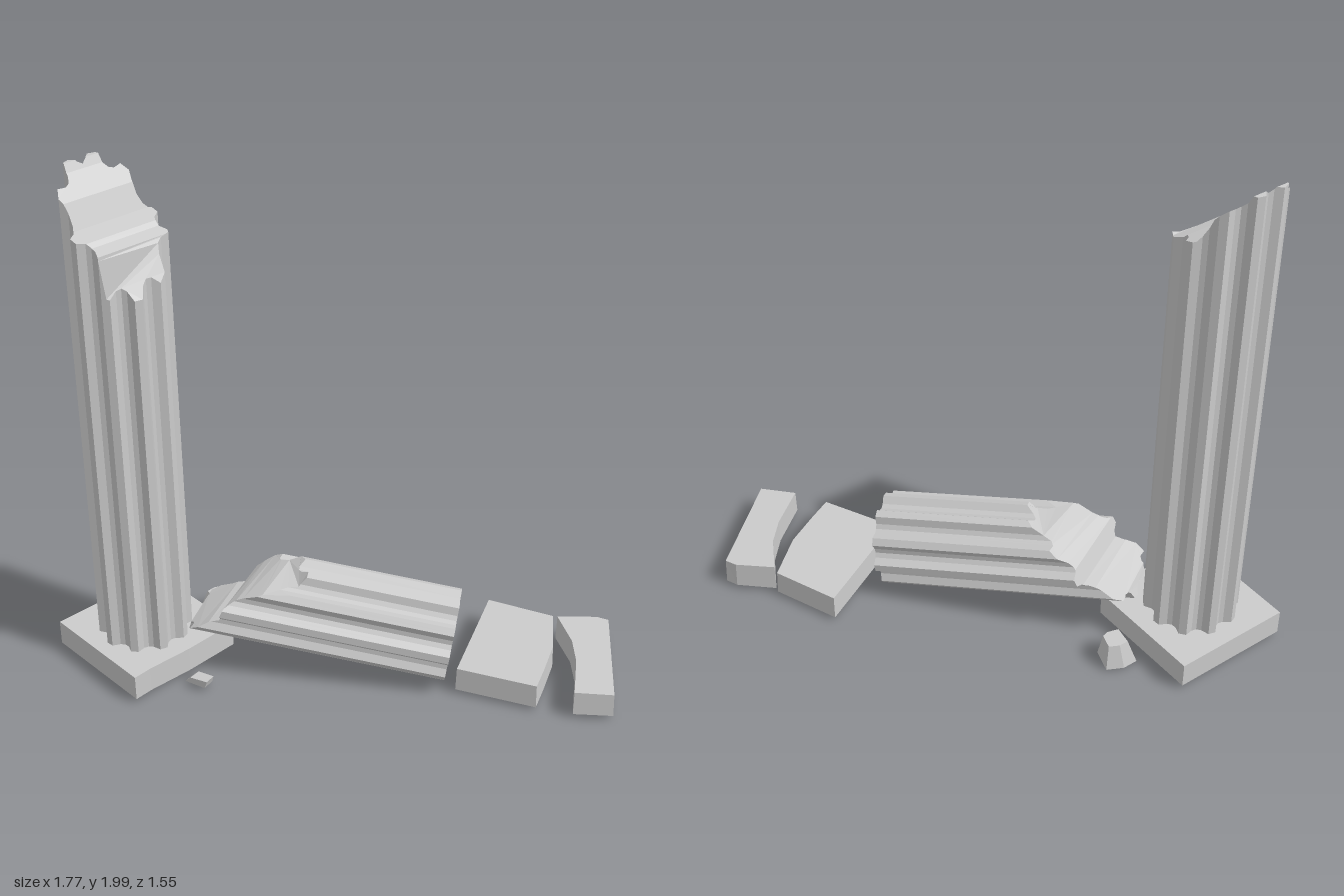
import * as THREE from 'three';

const stone = new THREE.MeshStandardMaterial({ color: 0xcccccc, flatShading: true, side: THREE.DoubleSide });

// Fluted outline, counter-clockwise in (x, -z)
function flutedOutline(flutes = 10, phase = -0.26) {
  const pts = [];
  const steps = [[-0.13, 0.179], [0.13, 0.179], [0.31, 0.154], [0.5, 0.147], [0.69, 0.154]];
  for (let i = 0; i < flutes; i++) {
    for (const [f, r] of steps) {
      const a = phase + ((i + f) / flutes) * Math.PI * 2;
      pts.push(new THREE.Vector2(Math.cos(a) * r, Math.sin(a) * r));
    }
  }
  return pts;
}

// Keep the part of an outline on one side of the line x = limit
function clip(pts, limit, sign) {
  const out = [];
  pts.forEach((p, i) => {
    const q = pts[(i + 1) % pts.length];
    const dp = (p.x - limit) * sign, dq = (q.x - limit) * sign;
    if (dp >= 0) out.push(p);
    if (dp * dq < 0) {
      const c = p.clone().lerp(q, dp / (dp - dq));
      c.x = limit;
      out.push(c);
    }
  });
  return out;
}

// Fluted shaft from y = 0 to a stepped fracture; profile rows are [x, height, slope along z]
function brokenShaft(profile) {
  const pos = [];
  const outline = flutedOutline();
  for (let k = 0; k < profile.length - 1; k++) {
    const [xa, ha, sa] = profile[k], [xb, hb, sb] = profile[k + 1];
    const strip = clip(clip(outline, xa, 1), xb, -1);
    if (strip.length < 3) continue;
    const low = (p) => [p.x, 0, -p.y];
    const high = (p) => {
      const t = (p.x - xa) / (xb - xa);
      return [p.x, ha + (hb - ha) * t - (sa + (sb - sa) * t) * p.y, -p.y];
    };
    for (const [a, b, c] of THREE.ShapeUtils.triangulateShape(strip, [])) {
      pos.push(...high(strip[a]), ...high(strip[b]), ...high(strip[c]));
      pos.push(...low(strip[a]), ...low(strip[c]), ...low(strip[b]));
    }
    strip.forEach((p, i) => {
      const q = strip[(i + 1) % strip.length];
      if (p.x === q.x && (p.x === xa || p.x === xb)) return;
      pos.push(...low(p), ...low(q), ...high(q), ...low(p), ...high(q), ...high(p));
    });
  }
  const g = new THREE.BufferGeometry();
  g.setAttribute('position', new THREE.Float32BufferAttribute(pos, 3));
  g.computeVertexNormals();
  return g;
}

// Slab from a plan outline of [x, z] points; the top can shrink and shift
function slab(plan, y0, y1, { scale = 1, dx = 0, dz = 0, tiltX = 0 } = {}) {
  const shape = new THREE.Shape(plan.map(([x, z]) => new THREE.Vector2(x, -z)));
  const g = new THREE.ExtrudeGeometry(shape, { depth: y1 - y0, bevelEnabled: false });
  g.rotateX(-Math.PI / 2).translate(0, y0, 0);
  const cx = plan.reduce((s, p) => s + p[0], 0) / plan.length;
  const cz = plan.reduce((s, p) => s + p[1], 0) / plan.length;
  const p = g.attributes.position;
  for (let i = 0; i < p.count; i++) {
    if (p.getY(i) < (y0 + y1) / 2) continue;
    const x = p.getX(i), z = p.getZ(i);
    p.setXYZ(i, cx + (x - cx) * scale + dx, p.getY(i) + (x - cx) * tiltX, cz + (z - cz) * scale + dz);
  }
  g.computeVertexNormals();
  return g;
}

export function createModel() {
  const model = new THREE.Group();
  model.name = 'ruinedColumn';
  const add = (name, geometry) => {
    const mesh = new THREE.Mesh(geometry, stone);
    mesh.name = name;
    model.add(mesh);
    return mesh;
  };

  // Square plinth with one chipped corner
  add('plinth', slab([[-0.89, 0.3], [-0.42, 0.295], [-0.41, 0.52], [-0.415, 0.7],
    [-0.41, 0.775], [-0.89, 0.775]], 0.03, 0.13));

  // Standing shaft with its jagged top
  const standing = add('standingShaft', brokenShaft([
    [-0.18, 1.88, 0], [-0.155, 1.88, 0], [-0.14, 1.85, 0], [-0.07, 1.78, 0], [-0.03, 1.69, 0],
    [0.04, 1.67, 0], [0.055, 1.655, 0], [0.1, 1.64, 0], [0.115, 1.57, -0.6], [0.18, 1.48, -0.3],
  ]));
  standing.position.set(-0.65, 0.12, 0.54);

  // Fallen shaft, lying diagonally with its broken end on the plinth
  const fallen = add('fallenShaft', brokenShaft([
    [-0.18, 0.985, 0.1], [-0.12, 0.97, 0.15], [-0.06, 0.88, 0.2], [-0.045, 0.84, 0.22],
    [0.03, 0.82, 0.22], [0.06, 0.79, 0.2], [0.11, 0.71, 0.1], [0.13, 0.63, -0.4], [0.18, 0.58, -0.2],
  ]));
  const tilt = 0.149;
  const along = new THREE.Vector3(-0.78 * Math.cos(tilt), Math.sin(tilt), 0.626 * Math.cos(tilt)).normalize();
  const side = new THREE.Vector3(0.626, 0, 0.78).normalize();
  const up = new THREE.Vector3().crossVectors(along, side);
  fallen.quaternion.setFromRotationMatrix(new THREE.Matrix4().makeBasis(up, along, side));
  fallen.position.set(0.269, 0.187, -0.216);

  // Two halves of the broken capital slab
  add('capitalHalfLarge', slab([[0.15, -0.545], [0.4, -0.65], [0.53, -0.5], [0.6, -0.37],
    [0.65, -0.27], [0.37, -0.13]], 0.03, 0.125, { scale: 0.985 }));
  add('capitalHalfSmall', slab([[0.42, -0.645], [0.525, -0.76], [0.57, -0.78], [0.88, -0.44],
    [0.77, -0.34], [0.65, -0.49], [0.56, -0.57]], 0.03, 0.13, { scale: 0.98, tiltX: -0.03 }));

  // Loose rubble
  add('rubbleLarge', slab([[-0.69, 0.19], [-0.66, 0.13], [-0.57, 0.16], [-0.56, 0.2],
    [-0.58, 0.27], [-0.69, 0.25]], 0.02, 0.12, { scale: 0.62, dz: -0.01 }));
  add('rubbleSmall', slab([[-0.38, 0.52], [-0.3, 0.5], [-0.285, 0.55], [-0.37, 0.575]],
    0.03, 0.06, { scale: 0.85, dx: 0.02, tiltX: 0.08 }));

  return model;
}
